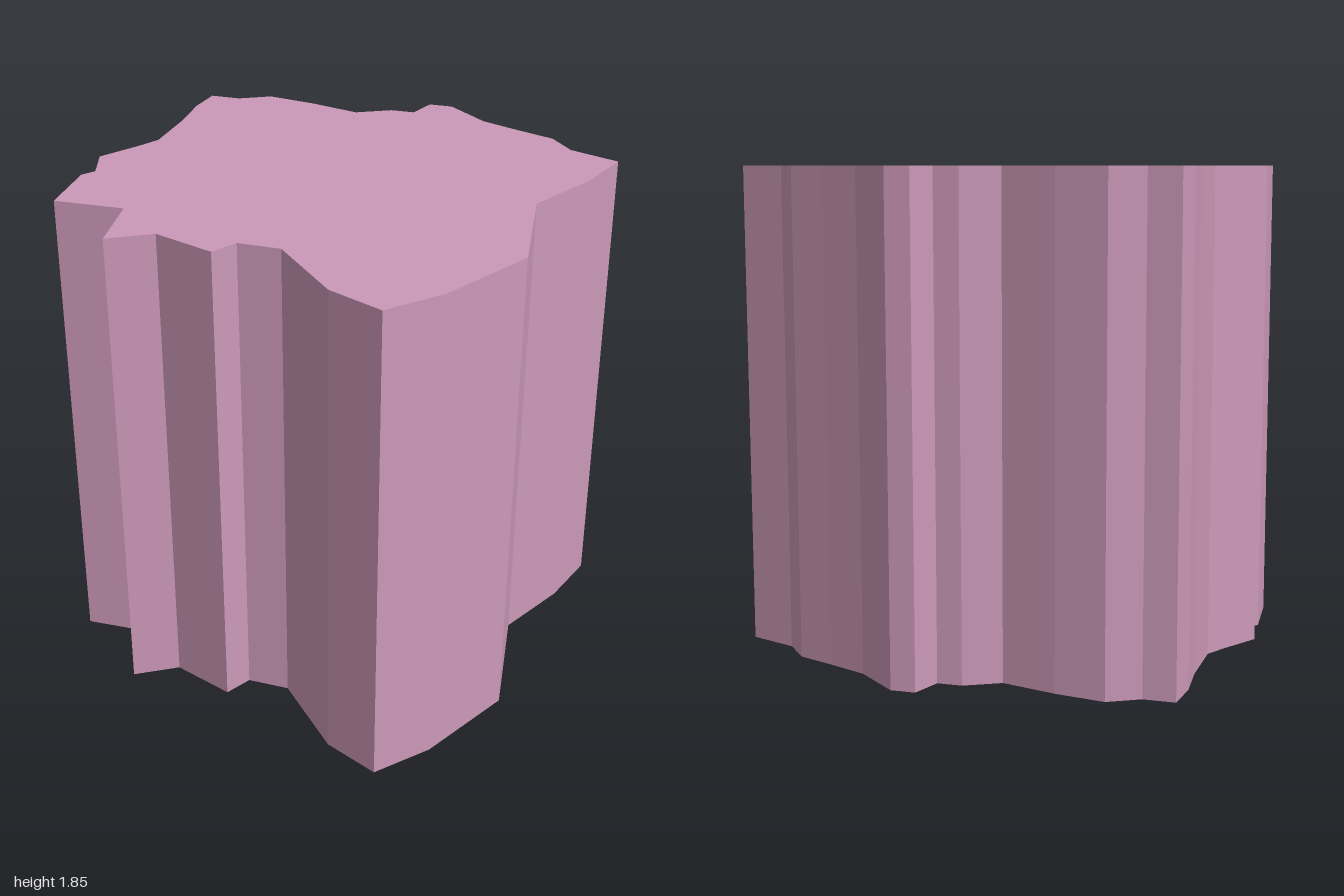
import * as THREE from 'three';

const HEIGHT = 1.85;

// Plan outline as [x, z], clockwise seen from above, starting at the back tip
const OUTLINE = [
  [0.38, -1.0], [0.43, -0.89], [0.54, -0.81], [0.59, -0.62], [0.625, -0.405],
  [0.745, -0.315], [0.785, -0.23], [0.91, -0.245], [0.95, -0.16], [0.89, 0.05],
  [0.895, 0.22], [0.905, 0.38], [0.845, 0.51], [0.86, 0.715], [0.61, 0.75],
  [0.3, 0.74], [-0.11, 1.0], [-0.51, 0.98], [-0.74, 0.91], [-0.74, 0.685],
  [-0.605, 0.35], [-0.67, 0.205], [-0.78, 0.195], [-0.8, -0.055], [-0.95, -0.155],
  [-0.72, -0.31], [-0.84, -0.55], [-0.605, -0.68], [-0.545, -0.67], [-0.43, -0.78],
  [-0.25, -0.76], [-0.15, -0.755], [0.08, -0.86], [0.24, -0.95],
];

export function createModel() {
  const model = new THREE.Group();
  model.name = 'irregularPrism';

  const mauve = new THREE.MeshStandardMaterial({ color: 0xcc99b8 });
  mauve.name = 'mauve';

  // Jagged column: the outline drawn flat, extruded, then stood upright
  const shape = new THREE.Shape(OUTLINE.map(([x, z]) => new THREE.Vector2(x, -z)));
  const geometry = new THREE.ExtrudeGeometry(shape, { depth: HEIGHT, bevelEnabled: false });
  geometry.rotateX(-Math.PI / 2);

  const column = new THREE.Mesh(geometry, mauve);
  column.name = 'column';
  model.add(column);
  return model;
}
